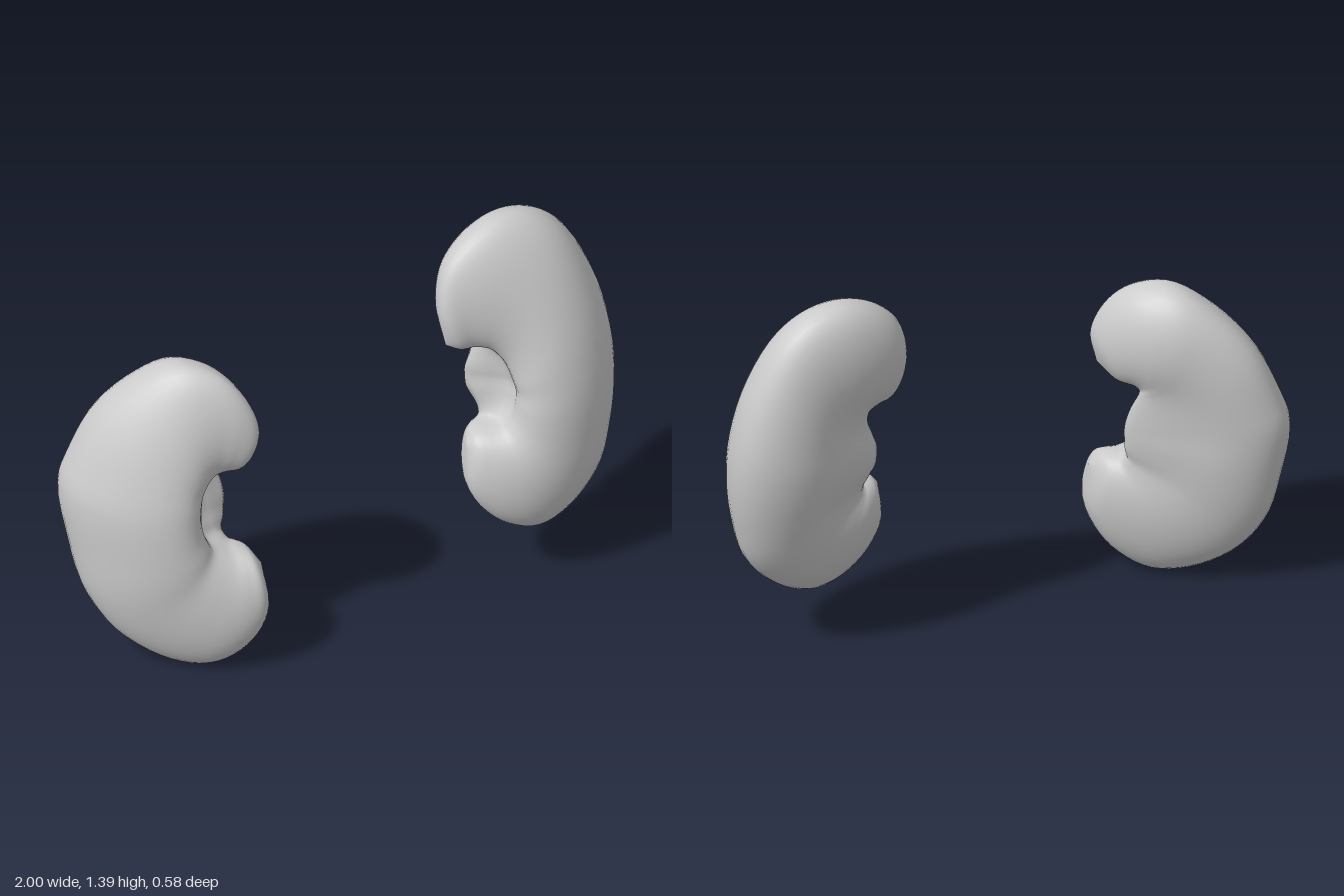
import * as THREE from 'three';
import { mergeVertices } from 'three/addons/utils/BufferGeometryUtils.js';

const RINGS = 72, SIDES = 40;

// Each section: outer x, outer y, inner x, inner y, front depth, back depth.
// Sections fan around the notch, from the upper lobe tip to the lower lobe tip.
const rightSections = [
  [-0.395, 0.83, -0.395, 0.83, 0, 0],
  [-0.375, 0.95, -0.45, 0.78, 0.05, 0.10],
  [-0.42, 1.07, -0.50, 0.77, 0.08, 0.15],
  [-0.50, 1.15, -0.53, 0.755, 0.10, 0.18],
  [-0.62, 1.175, -0.545, 0.74, 0.125, 0.19],
  [-0.75, 1.10, -0.56, 0.72, 0.155, 0.19],
  [-0.88, 0.96, -0.57, 0.69, 0.18, 0.19],
  [-0.965, 0.78, -0.575, 0.65, 0.20, 0.19],
  [-1.0, 0.66, -0.575, 0.61, 0.205, 0.19],
  [-0.975, 0.44, -0.57, 0.57, 0.20, 0.19],
  [-0.935, 0.26, -0.555, 0.53, 0.19, 0.18],
  [-0.84, 0.11, -0.54, 0.50, 0.17, 0.165],
  [-0.70, 0.02, -0.51, 0.48, 0.155, 0.155],
  [-0.57, 0.005, -0.48, 0.465, 0.14, 0.145],
  [-0.45, 0.08, -0.45, 0.46, 0.12, 0.13],
  [-0.375, 0.22, -0.42, 0.45, 0.09, 0.10],
  [-0.38, 0.40, -0.38, 0.40, 0, 0],
];
const leftSections = [
  [0.375, 0.97, 0.375, 0.97, 0, 0],
  [0.355, 1.13, 0.43, 0.945, 0.05, 0.08],
  [0.39, 1.26, 0.48, 0.94, 0.07, 0.12],
  [0.48, 1.35, 0.53, 0.92, 0.10, 0.14],
  [0.60, 1.395, 0.555, 0.89, 0.125, 0.15],
  [0.73, 1.375, 0.57, 0.86, 0.15, 0.155],
  [0.84, 1.29, 0.58, 0.82, 0.175, 0.165],
  [0.94, 1.10, 0.585, 0.79, 0.20, 0.185],
  [0.99, 0.89, 0.59, 0.76, 0.21, 0.20],
  [0.995, 0.71, 0.585, 0.72, 0.21, 0.20],
  [0.97, 0.54, 0.58, 0.69, 0.20, 0.19],
  [0.92, 0.38, 0.57, 0.66, 0.185, 0.175],
  [0.80, 0.25, 0.55, 0.63, 0.165, 0.165],
  [0.67, 0.20, 0.52, 0.62, 0.14, 0.155],
  [0.53, 0.26, 0.49, 0.615, 0.105, 0.135],
  [0.43, 0.40, 0.46, 0.605, 0.06, 0.09],
  [0.43, 0.57, 0.43, 0.57, 0, 0],
];

const bump = (a, centre, width) => Math.exp(-(((a - centre) / width) ** 2));

// Lofts egg-shaped sections along the bean; midDepth(x, y) tilts its middle plane
function beanGeometry(sections, midDepth) {
  const side = Math.sign(sections[8][0]);
  // z of the outer curve carries the front depth, z of the inner curve the back depth
  const outer = new THREE.CatmullRomCurve3(sections.map(s => new THREE.Vector3(s[0], s[1], s[4])));
  const inner = new THREE.CatmullRomCurve3(sections.map(s => new THREE.Vector3(s[2], s[3], s[5])));
  const pos = [], index = [];

  for (let i = 0; i <= RINGS; i++) {
    // closer spacing toward the two lobe tips
    const lin = i / RINGS;
    const s = lin - 0.1 * Math.sin(2 * Math.PI * lin) / Math.PI;
    const o = outer.getPoint(s), n = inner.getPoint(s);
    const notch = Math.sin(Math.PI * s) ** 3;
    for (let j = 0; j < SIDES; j++) {
      const a = (j / SIDES) * Math.PI * 2, d = a - Math.PI;
      // blunt toward the notch, thinner toward the outer rim
      const q = (0.5 + 0.5 * Math.cos(a)) ** 1.15;
      let x = THREE.MathUtils.lerp(n.x, o.x, q);
      const y = THREE.MathUtils.lerp(n.y, o.y, q);
      // rear lip reaches inward, with a hollow between it and the front lip
      x -= side * notch * (0.13 * bump(d, 0.5, 0.42) - 0.045 * bump(d, -0.05, 0.25));
      const rise = Math.sin(a);
      const depth = rise > 0 ? o.z * rise ** 0.92 : -n.z * (-rise) ** 0.85;
      pos.push(x, y, midDepth(x, y) + depth);
    }
  }
  for (let i = 0; i < RINGS; i++) {
    for (let j = 0; j < SIDES; j++) {
      const k = (j + 1) % SIDES;
      const a = i * SIDES + j, b = a + SIDES, c = i * SIDES + k, e = c + SIDES;
      if (side < 0) index.push(a, b, c, c, b, e);
      else index.push(a, c, b, c, e, b);
    }
  }
  let geo = new THREE.BufferGeometry();
  geo.setAttribute('position', new THREE.Float32BufferAttribute(pos, 3));
  geo.setIndex(index);
  geo = mergeVertices(geo, 1e-4);
  geo.computeVertexNormals();
  return geo;
}

export function createModel() {
  const group = new THREE.Group();
  group.name = 'kidneys';
  const material = new THREE.MeshStandardMaterial({ color: 0xcccccc, roughness: 0.7 });
  const add = (name, sections, midDepth) => {
    const mesh = new THREE.Mesh(beanGeometry(sections, midDepth), material);
    mesh.name = name;
    group.add(mesh);
  };
  // right kidney: lower, inner edge turned well forward
  add('rightKidney', rightSections, (x, y) => 0.07 + 0.45 * (x + 0.6) - 0.09 * (y - 0.6));
  // left kidney: higher, upper pole leaning back
  add('leftKidney', leftSections, (x, y) => -0.06 - 0.15 * (y - 0.8) - 0.15 * (x - 0.65));
  return group;
}
